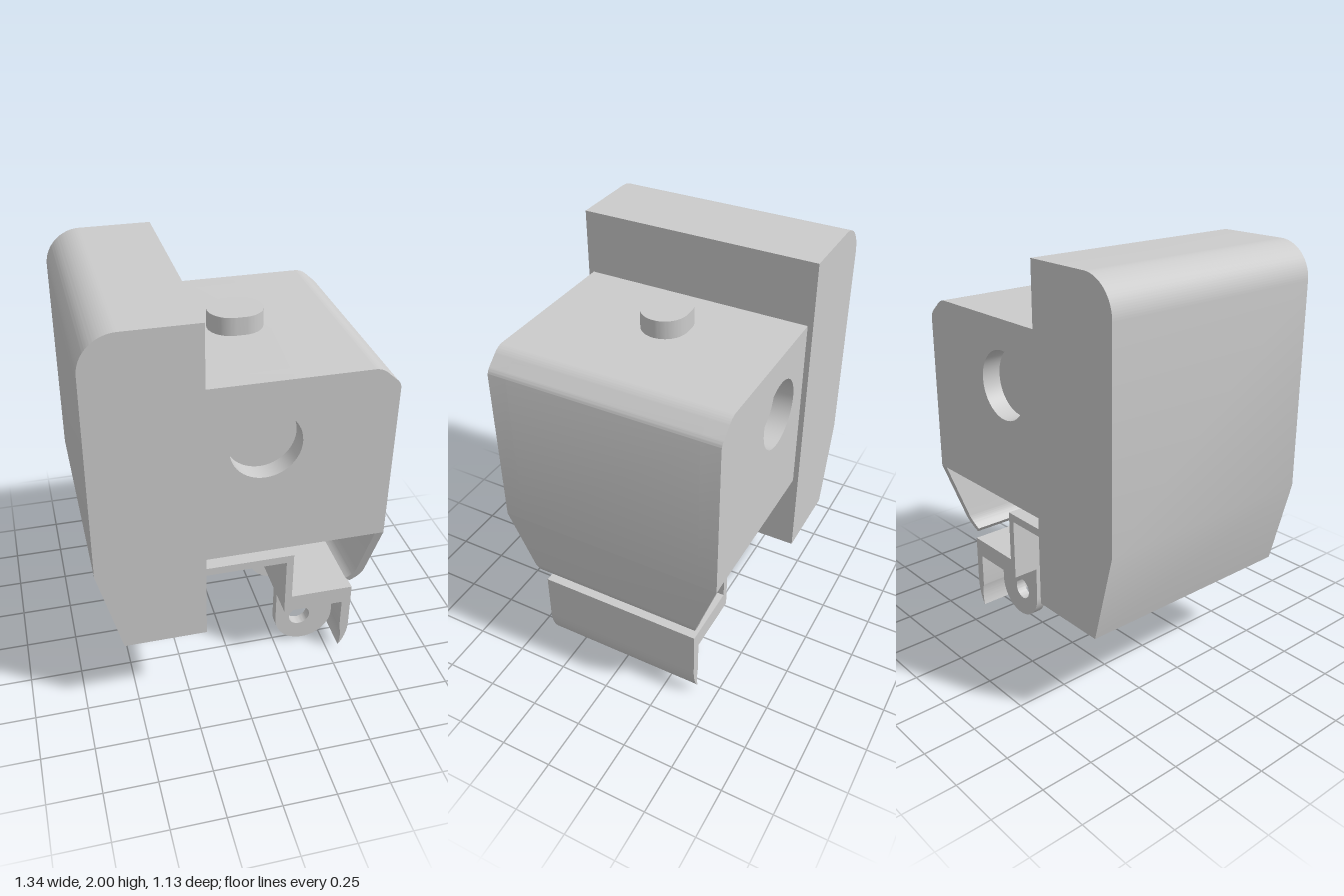
import * as THREE from 'three';
import { toCreasedNormals } from 'three/addons/utils/BufferGeometryUtils.js';

const material = new THREE.MeshStandardMaterial({ color: 0xcccccc });

// Extrude an x-y shape between two z values, smooth on curves and sharp on edges
function slab(shape, z0, z1, name, reshape) {
  const geo = new THREE.ExtrudeGeometry(shape, { depth: z1 - z0, bevelEnabled: false, curveSegments: 24 });
  geo.translate(0, 0, z0);
  if (reshape) reshape(geo.attributes.position);
  const mesh = new THREE.Mesh(toCreasedNormals(geo, 0.6), material);
  mesh.name = name;
  return mesh;
}

function circleHole(x, y, r) {
  return new THREE.Path().absarc(x, y, r, 0, Math.PI * 2, true);
}

function bodyShape() {
  const s = new THREE.Shape();
  s.moveTo(-0.175, 0.84);
  s.lineTo(0.667, 0.84);
  s.lineTo(0.667, 1.6);
  s.quadraticCurveTo(0.665, 1.62, 0.65, 1.635);
  s.lineTo(0.61, 1.67);
  s.quadraticCurveTo(0.58, 1.7, 0.545, 1.7);
  s.lineTo(-0.175, 1.7);
  s.closePath();
  return s;
}

export function createModel() {
  const group = new THREE.Group();

  // Tall back case with a rounded top corner and tapered foot
  const back = new THREE.Shape();
  back.moveTo(-0.56, 0.43);
  back.lineTo(-0.175, 0.43);
  back.lineTo(-0.175, 2);
  back.lineTo(-0.505, 2);
  back.absarc(-0.505, 1.835, 0.165, Math.PI / 2, Math.PI, false);
  back.lineTo(-0.67, 0.86);
  back.closePath();
  group.add(slab(back, -0.565, 0.565, 'backCase'));

  // Main housing: solid core plus side layers with round recesses
  const half = 0.54, recess = 0.09;
  group.add(slab(bodyShape(), -half + recess, half - recess, 'housingCore'));
  const side = bodyShape();
  side.holes.push(circleHole(0.09, 1.4, 0.16));
  group.add(slab(side, half - recess, half, 'housingFrontSide'));
  group.add(slab(side, -half, -half + recess, 'housingBackSide'));

  // Oblong button on top
  const oblong = new THREE.Shape();
  oblong.absarc(0.113, 0, 0.107, -Math.PI / 2, Math.PI / 2, false);
  oblong.absarc(0.072, 0, 0.107, Math.PI / 2, Math.PI * 1.5, false);
  oblong.closePath();
  const button = slab(oblong, 0, 0.085, 'topButton');
  button.rotation.x = -Math.PI / 2;
  button.position.y = 1.7;
  group.add(button);

  // Post between housing and bracket
  const post = new THREE.Mesh(new THREE.CylinderGeometry(0.172, 0.172, 0.17, 48), material);
  post.name = 'post';
  post.position.set(0.04, 0.755, 0);
  group.add(post);

  // Hanging flap with curled end, narrowing toward the bottom
  const flap = new THREE.Shape();
  flap.moveTo(0.625, 0.84);
  flap.lineTo(0.6, 0.55);
  flap.quadraticCurveTo(0.594, 0.512, 0.558, 0.483);
  flap.lineTo(0.583, 0.455);
  flap.quadraticCurveTo(0.632, 0.49, 0.64, 0.54);
  flap.lineTo(0.667, 0.84);
  flap.closePath();
  group.add(slab(flap, -0.5, 0.5, 'flap', (p) => {
    for (let i = 0; i < p.count; i++) {
      const t = (p.getY(i) - 0.455) / 0.385;
      p.setZ(i, Math.sign(p.getZ(i)) * (0.405 + 0.135 * t));
    }
  }));

  // Stepped bracket ending in a curved lip
  const bracket = new THREE.Shape();
  bracket.moveTo(-0.175, 0.63);
  bracket.lineTo(0.255, 0.63);
  bracket.lineTo(0.255, 0.32);
  bracket.lineTo(0.555, 0.32);
  bracket.lineTo(0.555, 0.15);
  bracket.quadraticCurveTo(0.57, 0.09, 0.555, 0.03);
  bracket.quadraticCurveTo(0.6, 0.09, 0.6, 0.18);
  bracket.lineTo(0.6, 0.41);
  bracket.lineTo(0.29, 0.41);
  bracket.lineTo(0.29, 0.67);
  bracket.lineTo(-0.175, 0.67);
  bracket.closePath();
  group.add(slab(bracket, -0.405, 0.405, 'bracket'));

  // Pair of pierced lugs under the bracket
  const lug = new THREE.Shape();
  lug.moveTo(0.255, 0.32);
  lug.lineTo(0.255, 0.15);
  lug.absarc(0.405, 0.15, 0.15, Math.PI, Math.PI * 2, false);
  lug.lineTo(0.555, 0.32);
  lug.closePath();
  lug.holes.push(circleHole(0.382, 0.153, 0.054));
  for (const z of [-0.25, 0.25]) group.add(slab(lug, z - 0.026, z + 0.026, z > 0 ? 'frontLug' : 'backLug'));

  return group;
}
